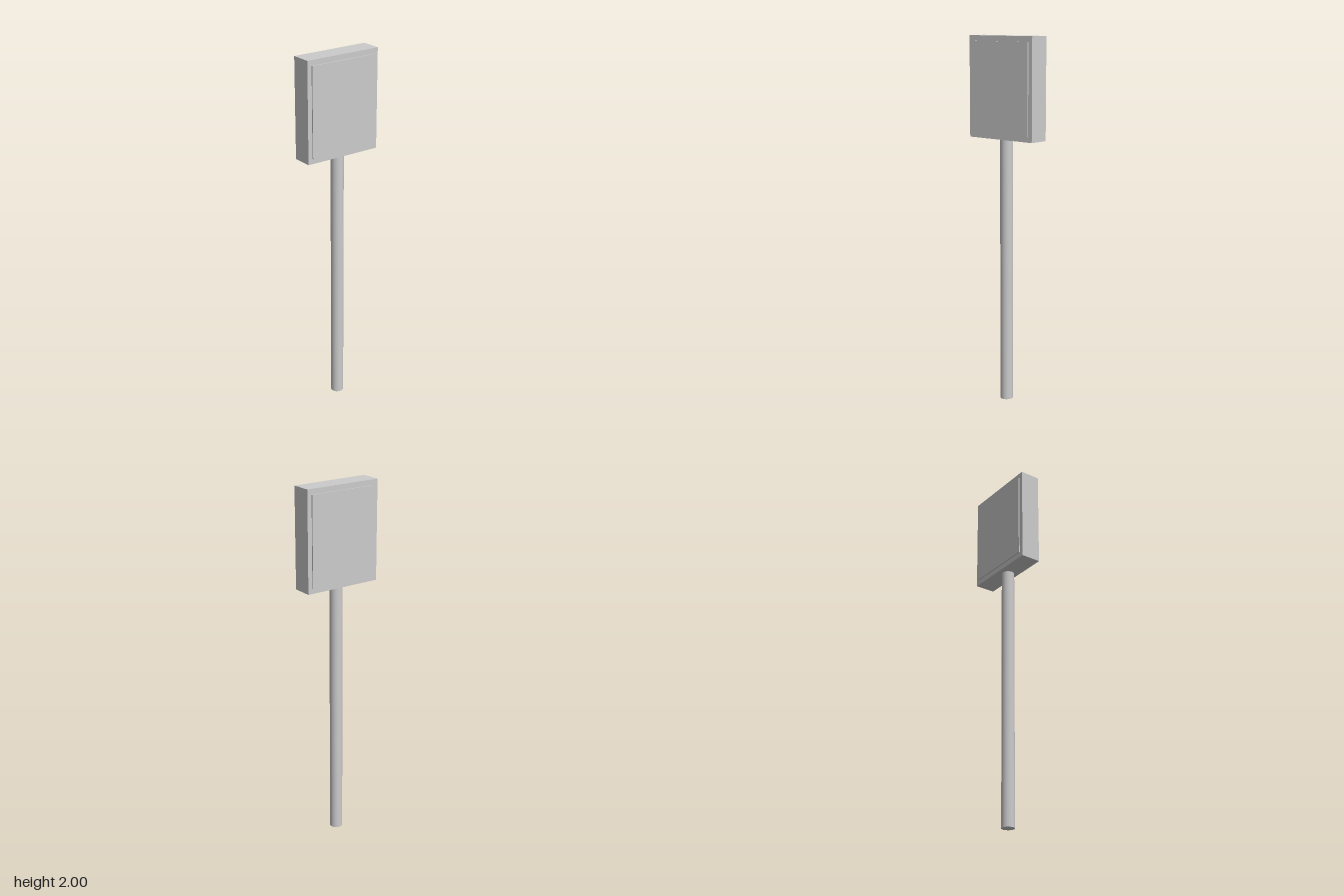
import * as THREE from 'three';

export function createModel() {
  const group = new THREE.Group();
  const material = new THREE.MeshStandardMaterial({ color: 0xcccccc });

  const add = (name, geometry, x, y, z) => {
    const mesh = new THREE.Mesh(geometry, material);
    mesh.name = name;
    mesh.position.set(x, y, z);
    group.add(mesh);
  };

  const bottom = 1.457, top = 2;
  const middle = (bottom + top) / 2;

  // Round pole, reaching up to the underside of the sign box
  add('pole', new THREE.CylinderGeometry(0.035, 0.035, bottom, 32), 0, bottom / 2, 0.005);

  // Sign box
  add('signBox', new THREE.BoxGeometry(0.438, top - bottom, 0.113), 0, middle, 0);

  // Slightly raised display panels on both faces
  for (const [name, side] of [['frontPanel', 1], ['backPanel', -1]]) {
    add(name, new THREE.BoxGeometry(0.388, 0.485, 0.012), 0, middle, side * 0.057);
  }

  return group;
}
